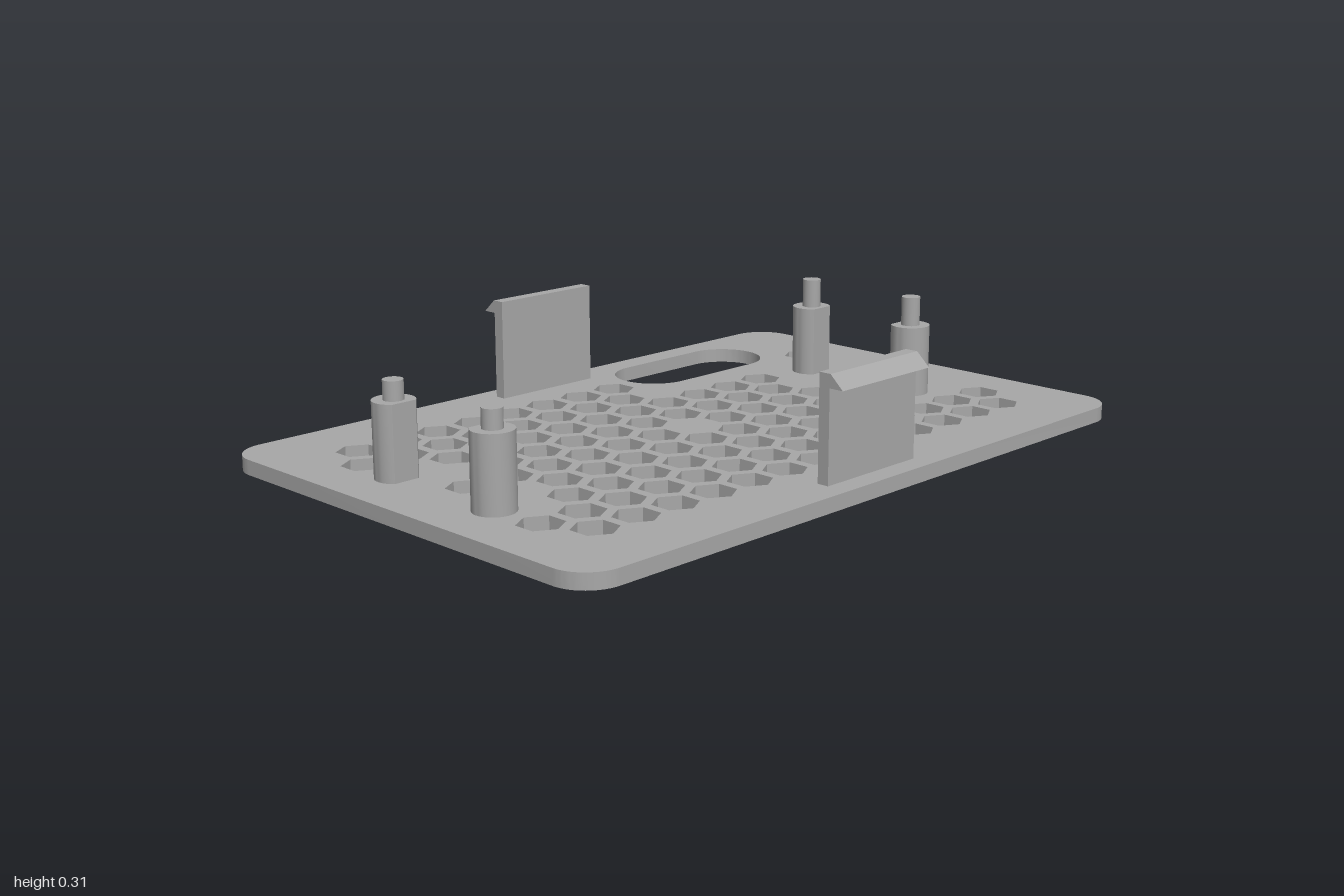
import * as THREE from 'three';
import { toCreasedNormals } from 'three/addons/utils/BufferGeometryUtils.js';

const PLATE_H = 0.04;

// Upright extrusion: shape (x, y) maps to (x, -z), rising from y = 0
function extrudeUp(shape, depth) {
  const g = new THREE.ExtrudeGeometry(shape, { depth, bevelEnabled: false, curveSegments: 12 });
  g.rotateX(-Math.PI / 2);
  return toCreasedNormals(g, 0.5);
}

function roundedRect(path, x0, y0, x1, y1, r) {
  path.absarc(x1 - r, y0 + r, r, -Math.PI / 2, 0, false);
  path.absarc(x1 - r, y1 - r, r, 0, Math.PI / 2, false);
  path.absarc(x0 + r, y1 - r, r, Math.PI / 2, Math.PI, false);
  path.absarc(x0 + r, y0 + r, r, Math.PI, Math.PI * 1.5, false);
  path.closePath();
  return path;
}

function hexHole(x, z, r) {
  const pts = [];
  for (let i = 0; i < 6; i++) {
    const a = Math.PI / 2 - i * Math.PI / 3;
    pts.push(new THREE.Vector2(x + r * Math.cos(a), -z + r * Math.sin(a)));
  }
  return new THREE.Path(pts);
}

export function createModel() {
  const model = new THREE.Group();
  const grey = new THREE.MeshStandardMaterial({ color: 0xa8a8a8 });
  grey.name = 'grey plastic';

  const add = (name, geometry, x, y, z, turn = 0) => {
    const m = new THREE.Mesh(geometry, grey);
    m.name = name;
    m.position.set(x, y, z);
    m.rotation.y = turn;
    model.add(m);
  };

  // Base plate with honeycomb vents and a cable slot
  const plate = roundedRect(new THREE.Shape(), -1, -0.667, 1, 0.667, 0.1);
  const pitch = 0.1265, rowPitch = 0.1096;
  // Vent rows: row number, then runs of first and last column
  const rows = [
    [-4, [-6, 1]],
    [-3, [-6.5, 0.5], [6.5, 6.5]],
    [-2, [-5, 4]],
    [-1, [-4.5, 3.5]],
    [0, [-6, -1], [1, 6]],
    [1, [-4.5, 3.5]],
    [2, [-5, 4]],
    [3, [-6.5, 6.5]],
    [4, [-6, 6]],
  ];
  for (const [row, ...runs] of rows) {
    for (const [first, last] of runs) {
      for (let c = first; c <= last; c++) plate.holes.push(hexHole(c * pitch, row * rowPitch, 0.0585));
    }
  }
  plate.holes.push(roundedRect(new THREE.Path(), 0.214, 0.364, 0.736, 0.594, 0.1149));
  add('basePlate', extrudeUp(plate, PLATE_H), 0, 0, 0);

  // Standoff posts, flattened on the inner side, each with a locating pin
  const r = 0.054, s = Math.asin(0.041 / r);
  const section = new THREE.Shape();
  section.absarc(0, 0, r, Math.PI - s, Math.PI * 2 + s, false);
  section.closePath();
  const postGeo = extrudeUp(section, 0.235 - PLATE_H);
  for (const [x, pinTop] of [[-0.834, 0.285], [0.688, 0.315]]) {
    const h = pinTop - 0.235;
    for (const side of [1, -1]) {
      const z = side * 0.183;
      add('standoffPost', postGeo, x, PLATE_H, z, side > 0 ? 0 : Math.PI);
      add('locatingPin', new THREE.CylinderGeometry(0.026, 0.026, h, 24), x, 0.235 + h / 2, z);
    }
  }

  // Snap clips: upright walls with outward barbs at front and back
  const clip = new THREE.Shape([
    [0.576, PLATE_H], [0.608, PLATE_H], [0.608, 0.28], [0.648, 0.28], [0.61, 0.315], [0.576, 0.315],
  ].map(([z, y]) => new THREE.Vector2(z, y)));
  const clipGeo = new THREE.ExtrudeGeometry(clip, { depth: 0.328, bevelEnabled: false });
  clipGeo.translate(0, 0, -0.164);
  clipGeo.rotateY(-Math.PI / 2);
  add('frontClip', clipGeo, 0, 0, 0);
  add('backClip', clipGeo, 0, 0, 0, Math.PI);

  return model;
}
